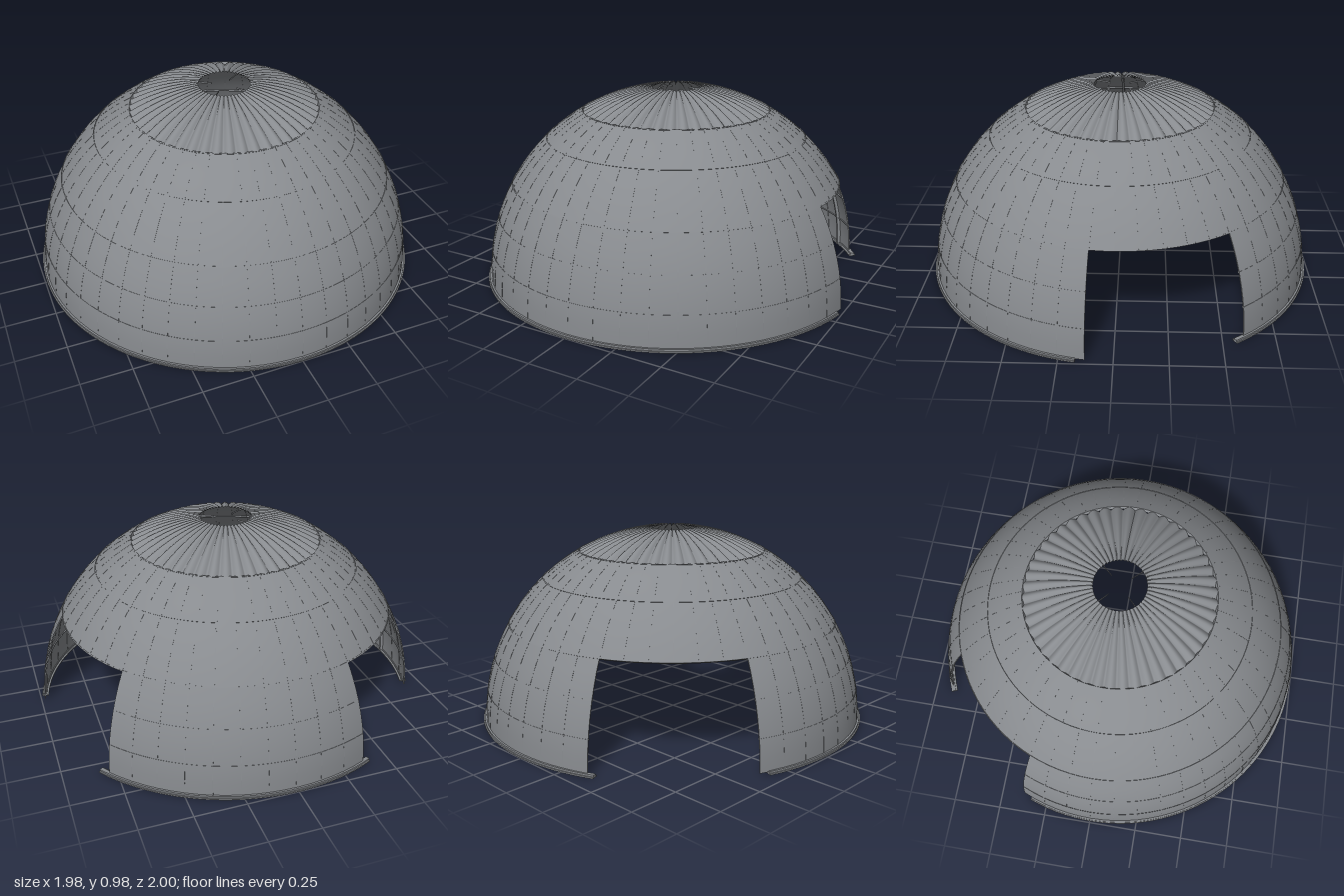
import * as THREE from 'three';
import { mergeGeometries } from 'three/addons/utils/BufferGeometryUtils.js';

const R = 0.985;                              // dome radius
const STEP = 7.5;                             // degrees covered by one panel
const LATS = [0.6, 9.6, 19.6, 30.5, 47.4, 60.8];
const CAP_TOP = 82.4;
const WALLS = [[7.5, 202.5], [247.5, 322.5]]; // wall arcs left between the two doorways

const lerp = THREE.MathUtils.lerp;

// Point on a sphere from radius, latitude and angle (from +x towards +z)
function polar(r, lat, th) {
  const a = THREE.MathUtils.degToRad(lat), b = THREE.MathUtils.degToRad(th);
  return [r * Math.cos(a) * Math.cos(b), r * Math.sin(a), r * Math.cos(a) * Math.sin(b)];
}

// Grid surface from f(u, v)
function patch(f, nu, nv) {
  const pos = [], idx = [];
  for (let i = 0; i <= nu; i++)
    for (let j = 0; j <= nv; j++) pos.push(...f(i / nu, j / nv));
  for (let i = 0; i < nu; i++)
    for (let j = 0; j < nv; j++) {
      const a = i * (nv + 1) + j, b = a + nv + 1;
      idx.push(a, b, a + 1, b, b + 1, a + 1);
    }
  const g = new THREE.BufferGeometry();
  g.setAttribute('position', new THREE.Float32BufferAttribute(pos, 3));
  g.setIndex(idx);
  g.computeVertexNormals();
  return g;
}

// Curved solid block between two radii, latitudes and angles
function slab(r0, r1, la0, la1, t0, t1, nl, nt) {
  const at = (r, u, v) => polar(lerp(r0, r1, r), lerp(la0, la1, u), lerp(t0, t1, v));
  return mergeGeometries([
    patch((u, v) => at(1, u, v), nl, nt),
    patch((v, u) => at(0, u, v), nt, nl),
    patch((r, v) => at(r, 0, v), 1, nt),
    patch((v, r) => at(r, 1, v), nt, 1),
    patch((u, r) => at(r, u, 0), nl, 1),
    patch((r, u) => at(r, u, 1), 1, nl),
  ]);
}

// Strip along a meridian, kept about equally wide at every height
function meridian(r0, r1, la0, la1, th, width) {
  const n = Math.max(1, Math.round((la1 - la0) / 5)), out = [];
  for (let i = 0; i < n; i++) {
    const a = lerp(la0, la1, i / n), b = lerp(la0, la1, (i + 1) / n);
    const half = THREE.MathUtils.radToDeg(width / 2 / Math.cos(THREE.MathUtils.degToRad((a + b) / 2)));
    out.push(slab(r0, r1, a, b, th - half, th + half, 1, 1));
  }
  return out;
}

export function createModel() {
  const steelGrey = new THREE.MeshStandardMaterial({ color: 0x888b8f, side: THREE.DoubleSide });
  steelGrey.name = 'steelGrey';

  const group = new THREE.Group();
  group.name = 'dome';
  const add = (name, parts) => {
    const mesh = new THREE.Mesh(mergeGeometries(parts), steelGrey);
    mesh.name = name;
    mesh.position.x = 0.007; // the rail is cut short on one side, so centre its extent
    group.add(mesh);
  };

  // Shell: walls between the doorways, closed band above
  add('wallPanels', WALLS.map(([a, b]) =>
    slab(R - 0.006, R, LATS[0], LATS[3], a, b, 8, Math.round((b - a) / 3.75))));
  add('upperPanels', [slab(R - 0.006, R, LATS[3], LATS[5], 0, 360, 10, 96)]);

  // Fluted cap with an open centre
  add('flutedCap', [patch((u, v) => {
    const groove = lerp(0.02, 0.009, u) * (1 - Math.abs(Math.sin(v * Math.PI * 48)));
    return polar(R - groove, lerp(LATS[5], CAP_TOP, u), v * 360);
  }, 8, 48 * 8)]);

  // Thin seams between panels
  const seams = [];
  for (let k = 0; k < 48; k++)
    seams.push(...meridian(R - 0.008, R + 0.001, LATS[3], LATS[5], k * STEP, 0.005));
  for (const [a, b] of WALLS) {
    for (let th = a + STEP; th < b; th += STEP)
      seams.push(...meridian(R - 0.008, R + 0.001, LATS[0], LATS[3], th, 0.005));
    for (const la of [LATS[1], LATS[2]])
      seams.push(slab(R - 0.012, R + 0.001, la - 0.15, la + 0.15, a, b, 1, Math.round((b - a) / 3.75)));
  }
  for (const la of LATS.slice(3))
    seams.push(slab(R - 0.014, R + 0.002, la - 0.17, la + 0.17, 0, 360, 1, 96));
  add('panelSeams', seams);

  // Inner ribs every 45 degrees; those over a doorway stop at its top
  const ribs = [];
  for (let th = 0; th < 360; th += 45) {
    const onWall = WALLS.some(([a, b]) => th > a && th < b);
    ribs.push(...meridian(R - 0.022, R - 0.005, onWall ? LATS[0] : LATS[3], LATS[5], th, 0.014));
  }
  // Slim fins reaching into the open centre
  for (let th = 45; th < 360; th += 90)
    ribs.push(...meridian(R - 0.026, R - 0.018, LATS[5], 86, th, 0.003));
  add('innerRibs', ribs);

  // Base rails under the walls
  add('baseRails', [[10, 200], [245.5, 325.5]].flatMap(([a, b]) => [
    slab(0.965, 1, 0, 0.4, a, b, 1, Math.round((b - a) / 3)),
    slab(0.975, 0.994, 0.4, 0.9, a, b, 1, Math.round((b - a) / 3)),
  ]));

  return group;
}
